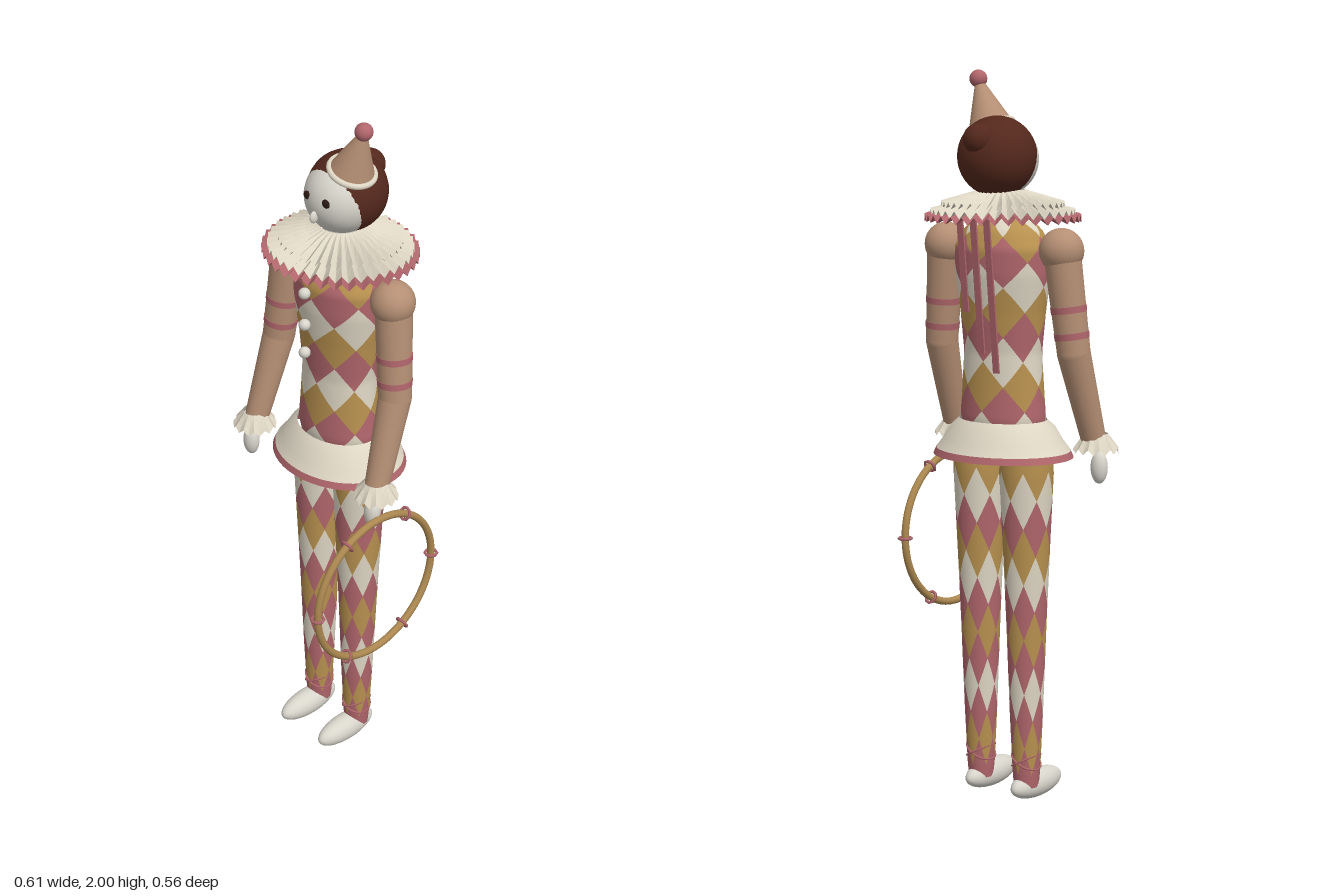
import * as THREE from 'three';
import { mergeVertices } from 'three/addons/utils/BufferGeometryUtils.js';

const mat = (name, color, side = THREE.FrontSide) => {
  const m = new THREE.MeshStandardMaterial({ color, side });
  m.name = name;
  return m;
};
const CREAM = mat('cream cloth', 0xded6c4, THREE.DoubleSide);
const FACE = mat('porcelain', 0xd8d5cb);
const PINK = mat('dusty rose', 0xb0666c, THREE.DoubleSide);
const MUSTARD = mat('mustard', 0xb8914f);
const TAN = mat('tan cloth', 0xb58f74);
const HAIR = mat('auburn hair', 0x54281c);
const EYE = mat('dark brown', 0x2c1a14);
const WOOD = mat('hoop wood', 0xac8850);
const BODY_Z = -0.08;
const V = (x, y, z) => new THREE.Vector3(x, y, z);

function add(parent, name, geometry, material, pos = [0, 0, 0]) {
  const mesh = new THREE.Mesh(geometry, material);
  mesh.name = name;
  mesh.position.set(...pos);
  parent.add(mesh);
  return mesh;
}

function ball(parent, name, material, pos, rx, ry = rx, rz = rx) {
  const m = add(parent, name, new THREE.SphereGeometry(1, 32, 20), material, pos);
  m.scale.set(rx, ry, rz);
  return m;
}

// Tapered cylinder from point a to point b
function limb(parent, name, material, a, b, ra, rb) {
  const m = add(parent, name, new THREE.CylinderGeometry(rb, ra, a.distanceTo(b), 24), material);
  m.position.copy(a).add(b).multiplyScalar(0.5);
  m.quaternion.setFromUnitVectors(V(0, 1, 0), b.clone().sub(a).normalize());
  return m;
}

// Linear lookup in a profile of [y, radius] rows
function radiusAt(profile, y) {
  for (let i = 1; i < profile.length; i++) {
    const [y0, r0] = profile[i - 1], [y1, r1] = profile[i];
    if (y <= y1) return THREE.MathUtils.mapLinear(Math.max(y, y0), y0, y1, r0, r1);
  }
  return profile[profile.length - 1][1];
}

// Body of revolution covered in rows of diamonds; one letter per row, bottom up
function harlequin(parent, name, rows, y0, step, count, profile, depth, pos) {
  const n = 6, top = rows.length - 1, verts = [], groups = [];
  const put = (u, k) => {
    const y = y0 + k * step, r = radiusAt(profile, y), a = (u / count) * Math.PI * 2;
    verts.push(r * Math.sin(a), y, r * depth * Math.cos(a));
  };
  const triangle = (A, B, C) => {
    const at = (i, j) => put(A[0] + ((B[0] - A[0]) * i + (C[0] - A[0]) * j) / n,
      A[1] + ((B[1] - A[1]) * i + (C[1] - A[1]) * j) / n);
    for (let i = 0; i < n; i++) for (let j = 0; i + j < n; j++) {
      at(i, j); at(i + 1, j); at(i, j + 1);
      if (i + j < n - 1) { at(i + 1, j); at(i + 1, j + 1); at(i, j + 1); }
    }
  };
  [...'cpm'].forEach((letter, index) => {
    const start = verts.length / 3;
    for (let k = 0; k <= top; k++) {
      if (rows[k] !== letter) continue;
      for (let j = 0; j < count; j++) {
        const u = j + ((k + 1) % 2) / 2;
        if (k < top) triangle([u - 0.5, k], [u + 0.5, k], [u, k + 1]);
        if (k > 0) triangle([u - 0.5, k], [u, k - 1], [u + 0.5, k]);
      }
    }
    groups.push([start, verts.length / 3 - start, index]);
  });
  let g = new THREE.BufferGeometry();
  g.setAttribute('position', new THREE.Float32BufferAttribute(verts, 3));
  g = mergeVertices(g, 1e-4);
  g.computeVertexNormals();
  groups.forEach(v => g.addGroup(...v));
  return add(parent, name, g, [CREAM, PINK, MUSTARD], pos);
}

// Pleated flaring collar with sharp folds
function ruffle(parent, name, material, rTop, yTop, rBottom, yBottom, amp, pleats, pos, depth = 1) {
  const h = yTop - yBottom;
  let g = new THREE.CylinderGeometry(rTop, rBottom, h, pleats * 2, 3, true);
  const p = g.attributes.position, cols = pleats * 2 + 1;
  for (let i = 0; i < p.count; i++) {
    const t = (yTop - yBottom) ? (h / 2 - p.getY(i)) / h : 0;
    p.setY(i, p.getY(i) + (yTop + yBottom) / 2 + amp * t * ((i % cols) % 2 ? 1 : -1));
  }
  g = g.toNonIndexed();
  g.computeVertexNormals();
  const m = add(parent, name, g, material, pos);
  m.scale.z = depth;
  return m;
}

function lathe(parent, name, material, points, depth) {
  const g = new THREE.LatheGeometry(points.map(p => new THREE.Vector2(...p)), 48);
  const m = add(parent, name, g, material, [0, 0, BODY_Z]);
  m.scale.z = depth;
}

export function createModel() {
  const model = new THREE.Group();
  model.name = 'harlequin doll';

  // Torso and skirt
  harlequin(model, 'torso', 'mcpmcpmcpmc', 0.961, 0.067, 6,
    [[0.961, 0.05], [0.985, 0.11], [1.07, 0.128], [1.15, 0.122], [1.25, 0.116], [1.36, 0.127],
      [1.46, 0.142], [1.53, 0.143], [1.58, 0.115], [1.631, 0.05]], 0.74, [0, 0, BODY_Z]);
  lathe(model, 'skirt', CREAM, [[0.196, 0.983], [0.174, 1.01], [0.152, 1.045], [0.128, 1.066]], 0.82);
  lathe(model, 'skirtHem', PINK, [[0.204, 0.965], [0.196, 0.983]], 0.82);
  [1.525, 1.43, 1.345].forEach(y => ball(model, 'button', FACE, [0, y, 0.05], 0.016));

  // Neck and layered ruff
  add(model, 'neck', new THREE.CylinderGeometry(0.045, 0.05, 0.12, 24), FACE, [0, 1.65, BODY_Z]);
  ruffle(model, 'upperRuff', CREAM, 0.06, 1.685, 0.17, 1.645, 0.009, 36, [0, 0, BODY_Z], 0.93);
  ruffle(model, 'lowerRuff', CREAM, 0.06, 1.665, 0.2, 1.624, 0.01, 36, [0, 0, BODY_Z], 0.93);
  ruffle(model, 'ruffTrim', PINK, 0.06, 1.655, 0.216, 1.61, 0.01, 36, [0, 0, BODY_Z], 0.93);

  // Head, hair and face
  ball(model, 'head', FACE, [0, 1.767, -0.085], 0.1);
  ball(model, 'hair', HAIR, [0, 1.773, -0.104], 0.1075);
  ball(model, 'hairBun', HAIR, [0, 1.82, -0.183], 0.042);
  ball(model, 'nose', FACE, [0, 1.737, 0.015], 0.008, 0.017, 0.014);
  for (const s of [1, -1]) ball(model, 'eye', EYE, [s * 0.034, 1.784, 0.006], 0.013, 0.012, 0.006);

  // Tilted pointed hat
  const hat = new THREE.Group();
  hat.name = 'hat';
  hat.position.set(0.044, 1.853, -0.077);
  hat.rotation.z = -0.32;
  model.add(hat);
  add(hat, 'hatCone', new THREE.CylinderGeometry(0.008, 0.06, 0.13, 32), TAN, [0, 0.065, 0]);
  add(hat, 'hatBrim', new THREE.TorusGeometry(0.06, 0.008, 10, 40), CREAM).rotation.x = Math.PI / 2;
  ball(hat, 'hatPompom', PINK, [0, 0.13, 0], 0.024);

  for (const s of [1, -1]) {
    // Arm with puffed shoulder, banded sleeve, cuff and hand
    const arm = new THREE.Group();
    arm.name = s > 0 ? 'leftArm' : 'rightArm';
    model.add(arm);
    const shoulder = V(s * 0.2, 1.51, BODY_Z), elbow = V(s * 0.226, 1.26, -0.065);
    const wrist = V(s * 0.24, 1.0, 0.015);
    ball(arm, 'shoulderPuff', TAN, [s * 0.196, 1.53, BODY_Z], 0.06);
    limb(arm, 'upperSleeve', TAN, shoulder, elbow, 0.05, 0.045);
    ball(arm, 'elbow', TAN, elbow.toArray(), 0.045);
    limb(arm, 'forearmSleeve', TAN, elbow, wrist, 0.045, 0.033);
    for (const t of [0.5, 0.78]) {
      limb(arm, 'sleeveBand', PINK, shoulder.clone().lerp(elbow, t),
        shoulder.clone().lerp(elbow, t + 0.07), 0.0515 - 0.005 * t, 0.051 - 0.005 * t);
    }
    ruffle(arm, 'cuff', CREAM, 0.032, 1.035, 0.061, 0.99, 0.007, 12, [s * 0.242, 0, 0.016]);
    ball(arm, 'hand', FACE, [s * 0.243, 0.94, 0.03], 0.024, 0.045, 0.022);

    // Leg with ankle ribbons and slipper
    const leg = new THREE.Group();
    leg.name = s > 0 ? 'leftLeg' : 'rightLeg';
    model.add(leg);
    harlequin(leg, 'stocking', 'pmpcpmpcmpcmm', 0.08, 0.0775, 6,
      [[0.08, 0.038], [0.25, 0.046], [0.5, 0.055], [0.75, 0.066], [0.92, 0.074], [1.01, 0.073]],
      1, [s * 0.08, 0, BODY_Z]);
    add(leg, 'ankle', new THREE.CylinderGeometry(0.038, 0.035, 0.04, 24), PINK, [s * 0.08, 0.062, BODY_Z]);
    for (const tilt of [0.5, -0.5]) {
      const ribbon = add(leg, 'ankleRibbon', new THREE.TorusGeometry(0.043, 0.003, 6, 28), PINK,
        [s * 0.08, 0.115, BODY_Z]);
      ribbon.rotation.set(Math.PI / 2, tilt, 0);
    }
    ball(leg, 'slipper', FACE, [s * 0.08, 0.04, -0.035], 0.038, 0.04, 0.106);
  }

  // Streamers down the back
  [[0.045, 1.36], [0, 1.25], [-0.045, 1.2]].forEach(([x, yEnd]) => {
    const len = 1.615 - yEnd;
    const streamer = add(model, 'streamer', new THREE.BoxGeometry(0.02, len, 0.005), PINK,
      [x, 1.615 - len / 2, -0.208 + len * 0.05]);
    streamer.rotation.x = -0.1;
  });

  // Hoop with wrapped bindings
  const hoop = new THREE.Group();
  hoop.name = 'hoop';
  hoop.position.set(0.27, 0.712, 0.04);
  hoop.rotation.y = Math.PI / 2;
  model.add(hoop);
  add(hoop, 'hoopRing', new THREE.TorusGeometry(0.218, 0.0105, 12, 64), WOOD);
  for (let i = 0; i < 6; i++) {
    const a = (i * Math.PI) / 3;
    const binding = add(hoop, 'hoopBinding', new THREE.TorusGeometry(0.017, 0.0045, 6, 8), PINK,
      [0.218 * Math.cos(a), 0.218 * Math.sin(a), 0]);
    binding.rotation.set(Math.PI / 2, a, 0, 'ZXY');
    binding.rotation.set(Math.PI / 2, 0, a, 'ZXY');
  }
  return model;
}
